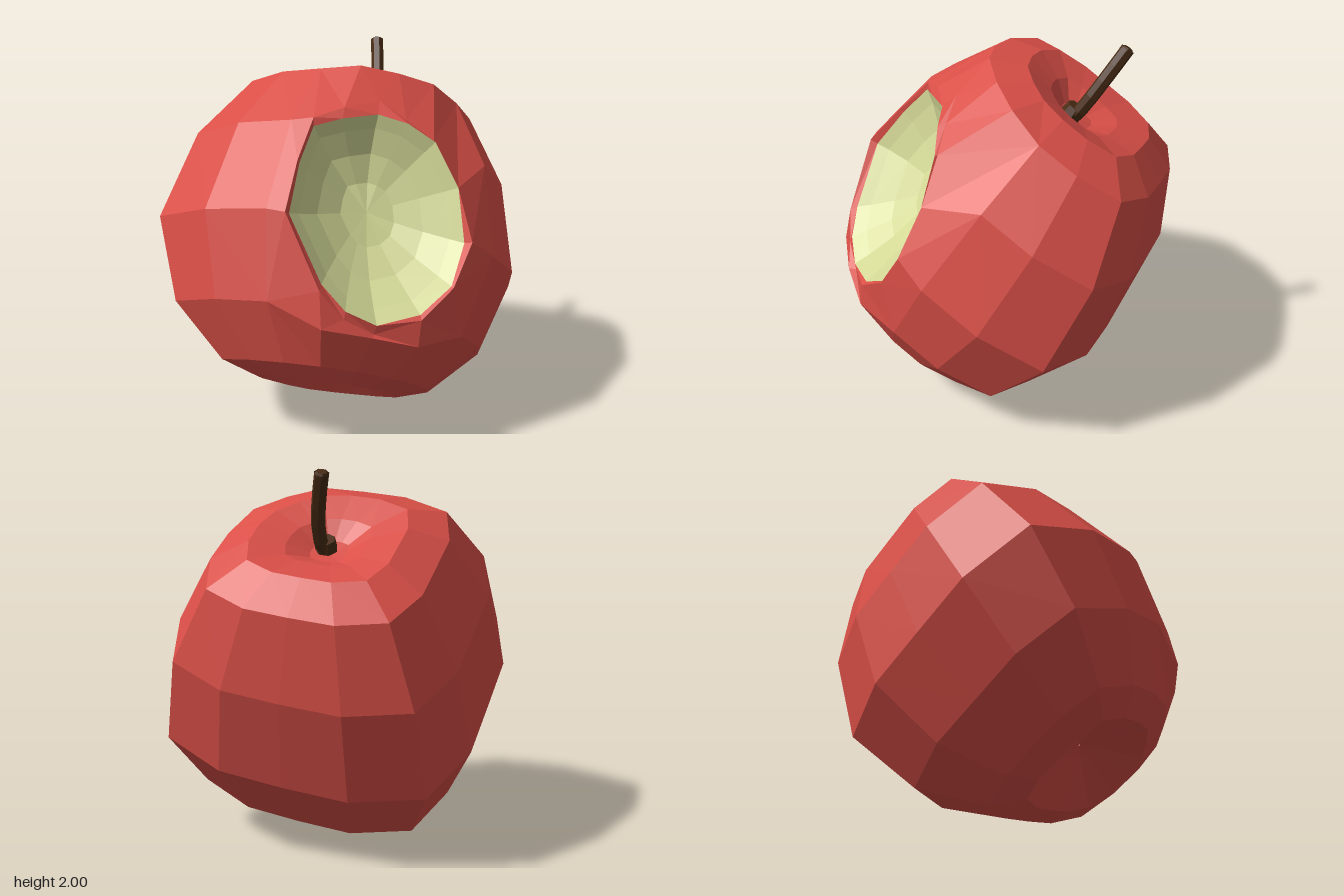
import * as THREE from 'three';

const SEG = 16;
const TWIST = -4.5; // turn of the rounded-square section about the axis, degrees
const CORNERS = [-0.06, 0.175, 0.18, 0.22]; // bulge of each corner, bitten one first
const mat = (color) => new THREE.MeshStandardMaterial({ color, flatShading: true, side: THREE.DoubleSide });

// profile from stem pit to bottom hollow: height, radius
const PROFILE = [
  [0.735, 0.005], [0.745, 0.09], [0.81, 0.2], [0.848, 0.37],
  [0.755, 0.562], [0.38, 0.765], [-0.12, 0.862], [-0.55, 0.73], [-0.81, 0.49],
  [-0.865, 0.335], [-0.73, 0.07], [-0.71, 0.005],
];
const TOP = 4, BOTTOM = 7, COLS = 4; // patch of the skin taken by the bite

// point on the fruit: angle from the front towards +x, height on the axis, radius
const polar = (deg, h, r) => {
  const t = THREE.MathUtils.degToRad(deg);
  return new THREE.Vector3(r * Math.sin(t), h, r * Math.cos(t));
};

// rounded-square cross-section
const squareness = (deg) => {
  const a = (deg - TWIST + 360) % 360;
  const s = Math.pow((1 - Math.cos(THREE.MathUtils.degToRad(a * 4))) / 2, 1.3);
  return 1 + CORNERS[Math.floor(a / 90)] * s;
};

// radius of the skin at a height on the bitten side
const skinRadius = (deg, h) => {
  let i = TOP;
  while (i < BOTTOM && PROFILE[i + 1][0] > h) i++;
  const [h0, r0] = PROFILE[i], [h1, r1] = PROFILE[i + 1];
  return (r0 + ((r1 - r0) * (h - h0)) / (h1 - h0)) * squareness(deg) * 0.985;
};

const quad = (out, a, b, c, d) => out.push(a, b, c, a, c, d);

// quads between two closed loops with equal point counts
const bridge = (out, outer, inner) => outer.forEach((p, k) => {
  const n = (k + 1) % outer.length;
  quad(out, p, inner[k], inner[n], outer[n]);
});

function facets(name, points, color) {
  const g = new THREE.BufferGeometry().setFromPoints(points);
  g.computeVertexNormals();
  const m = new THREE.Mesh(g, mat(color));
  m.name = name;
  return m;
}

export function createModel() {
  const model = new THREE.Group();
  model.name = 'bittenApple';

  // fruit leans backwards and slightly to its right
  const fruit = new THREE.Group();
  fruit.name = 'fruit';
  const up = new THREE.Vector3(-0.108, 0.85, -0.516).normalize();
  const side = new THREE.Vector3(1, 0, 0).addScaledVector(up, -up.x).normalize();
  const front = new THREE.Vector3().crossVectors(side, up);
  fruit.quaternion.setFromRotationMatrix(new THREE.Matrix4().makeBasis(side, up, front));
  fruit.position.set(-0.005, 0.96, -0.01);
  model.add(fruit);

  const rings = PROFILE.map(([h, r]) => Array.from({ length: SEG }, (_, j) => {
    const deg = (j * 360) / SEG + TWIST;
    return polar(deg, h, r * squareness(deg));
  }));
  // shoulder rises above the bite and the skin dips below it
  for (let j = 1; j < COLS; j++) {
    rings[TOP][j].y += 0.025;
    rings[BOTTOM][j].multiply(new THREE.Vector3(0.93, 1.19, 0.93));
  }

  // skin, leaving out the bitten patch
  const skin = [];
  for (let i = 0; i < rings.length - 1; i++) {
    for (let j = 0; j < SEG; j++) {
      if (i >= TOP && i < BOTTOM && j < COLS) continue;
      const n = (j + 1) % SEG;
      quad(skin, rings[i][j], rings[i + 1][j], rings[i + 1][n], rings[i][n]);
    }
  }

  // border of the patch, clockwise from its upper left
  const border = [];
  for (let j = 0; j < COLS; j++) border.push(rings[TOP][j]);
  for (let i = TOP; i < BOTTOM; i++) border.push(rings[i][COLS]);
  for (let j = COLS; j > 0; j--) border.push(rings[BOTTOM][j]);
  for (let i = BOTTOM; i > TOP; i--) border.push(rings[i][0]);

  // edge of the bite: angle, height, radius, height of the skin lip
  const bite = [
    [4, 0.36, 0.725, 0.40], [15, 0.42, 0.69, 0.48], [30, 0.48, 0.65, 0.57], [43, 0.45, 0.69, 0.48],
    [55, 0.38, 0.73, 0.39], [66, 0.17, 0.78, 0.17], [72, -0.10, 0.79, -0.10], [70, -0.33, 0.76, -0.34],
    [60, -0.50, 0.69, -0.53], [42, -0.59, 0.635, -0.63], [27, -0.55, 0.66, -0.59],
    [16, -0.44, 0.70, -0.48], [2, -0.125, 0.80, -0.13], [2, 0.15, 0.77, 0.15],
  ];
  const edge = bite.map(([deg, h, r]) => polar(deg, h, r));
  const lip = bite.map(([deg, , , h]) => polar(deg, h, skinRadius(deg, h)));
  bridge(skin, border, lip);
  bridge(skin, lip, edge);
  fruit.add(facets('skin', skin, 0xd94f47));

  // shallow hollow of the bite
  const centre = edge.reduce((s, p) => s.add(p), new THREE.Vector3()).divideScalar(edge.length);
  const inward = new THREE.Vector3(-0.65, 0.15, -0.76).normalize();
  const flesh = [];
  let outer = edge;
  for (const s of [0.87, 0.62, 0.32, 0.002]) {
    const inner = edge.map((p) => centre.clone().lerp(p, s)
      .addScaledVector(inward, 0.22 * (1 - s * s)));
    bridge(flesh, outer, inner);
    outer = inner;
  }
  fruit.add(facets('biteFlesh', flesh, 0xd3d896));

  // curved stem with a flared foot and a closed tip
  const stem = new THREE.Group();
  stem.name = 'stem';
  const brown = mat(0x4a2d16);
  const path = new THREE.CatmullRomCurve3([
    new THREE.Vector3(-0.07, 1.57, -0.37), new THREE.Vector3(-0.05, 1.66, -0.44),
    new THREE.Vector3(-0.08, 1.82, -0.54), new THREE.Vector3(-0.13, 1.98, -0.635),
  ]);
  const stalk = new THREE.Mesh(new THREE.TubeGeometry(path, 5, 0.037, 7), brown);
  stalk.name = 'stalk';
  const tip = new THREE.Mesh(new THREE.CylinderGeometry(0.025, 0.037, 0.015, 7), brown);
  tip.name = 'stalkTip';
  tip.position.copy(path.getPoint(1));
  tip.quaternion.setFromUnitVectors(new THREE.Vector3(0, 1, 0), path.getTangent(1));
  const foot = new THREE.Mesh(new THREE.CylinderGeometry(0.05, 0.065, 0.09, 7), brown);
  foot.name = 'stalkFoot';
  foot.position.set(-0.066, 1.615, -0.38);
  foot.quaternion.copy(fruit.quaternion);
  stem.add(stalk, tip, foot);
  model.add(stem);

  return model;
}
